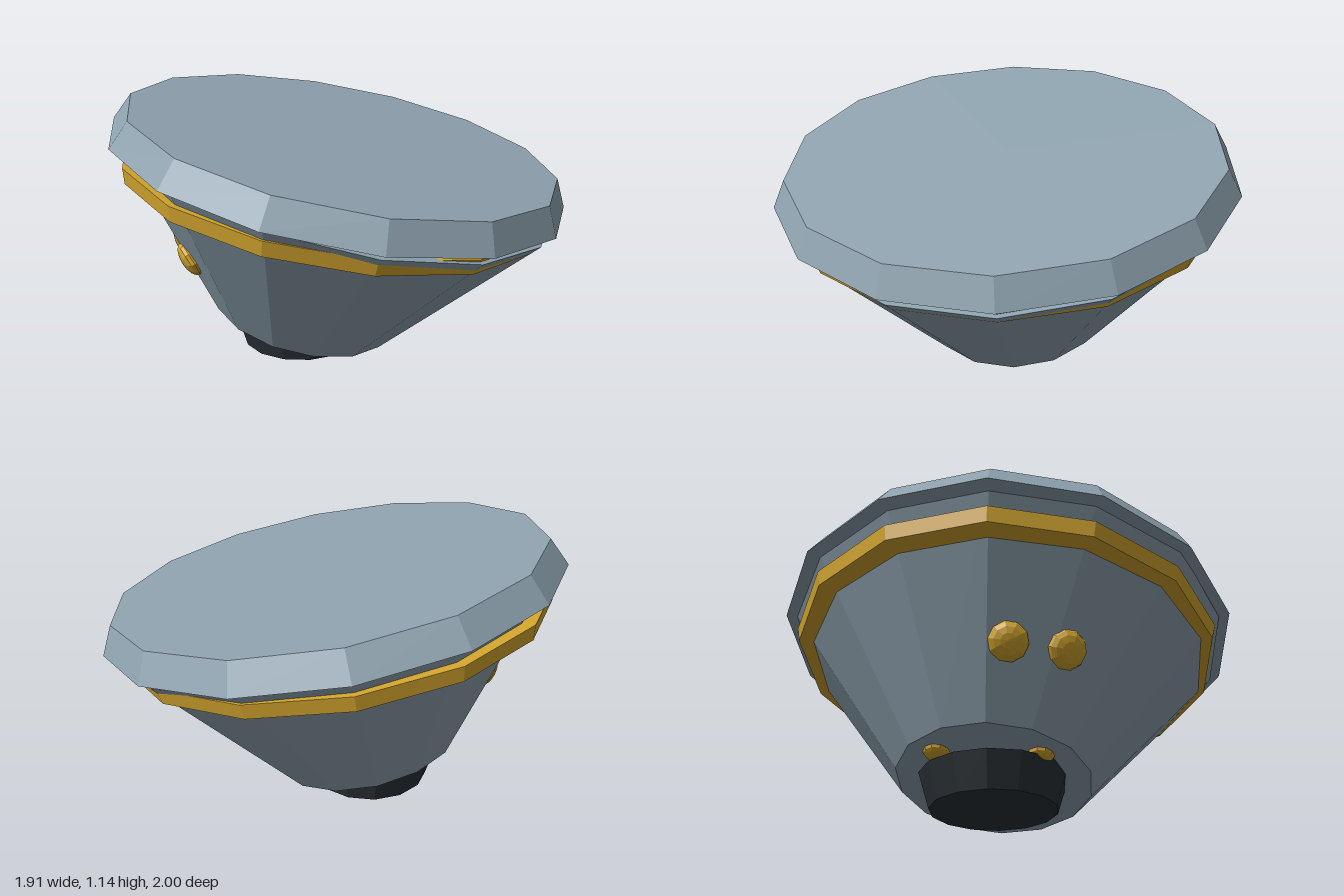
import * as THREE from 'three';

const SIDES = 14;

export function createModel() {
  const model = new THREE.Group();
  model.name = 'tiltedBowl';

  const mat = (name, color) => {
    const m = new THREE.MeshStandardMaterial({ color });
    m.name = name;
    m.flatShading = true;
    return m;
  };
  const steel = mat('steel', 0x8fa3b0);
  const gold = mat('gold', 0xd4a62e);
  const dark = mat('darkIron', 0x2b3136);

  // Tapered 14-sided drum, leaning towards +x by tilt
  const drum = (name, material, rTop, rBottom, height, x, y, tilt) => {
    const mesh = new THREE.Mesh(new THREE.CylinderGeometry(rTop, rBottom, height, SIDES), material);
    mesh.name = name;
    mesh.position.set(x, y, 0);
    mesh.rotation.z = -tilt;
    model.add(mesh);
    return mesh;
  };

  drum('foot', dark, 0.31, 0.265, 0.15, -0.182, 0.075, 0);
  const bowl = drum('bowl', steel, 0.955, 0.407, 0.731, -0.0925, 0.48, 0.24);
  drum('band', gold, 0.936, 0.92, 0.066, -0.02, 0.76, 0.166);
  drum('lid', steel, 0.94, 1, 0.12, 0.01, 0.906, 0.195);

  // Flattened studs, placed in the bowl's own frame and turned along a normal
  const stud = (name, radius, depth, position, normal) => {
    const mesh = new THREE.Mesh(new THREE.SphereGeometry(1, 10, 8), gold);
    mesh.name = name;
    mesh.scale.set(radius, depth, radius);
    mesh.position.copy(position);
    mesh.quaternion.setFromUnitVectors(new THREE.Vector3(0, 1, 0), normal.normalize());
    bowl.add(mesh);
  };

  // Two studs on the bowl wall
  [[-1.206, 0.251, 0.59], [-0.816, 0.269, 0.6]].forEach(([angle, up, r]) => {
    const s = Math.sin(angle), c = Math.cos(angle);
    stud('wallStud', 0.08, 0.04,
      new THREE.Vector3(s * r, up - 0.3655, c * r),
      new THREE.Vector3(s, -0.75, c));
  });

  // Two small studs under the bowl
  [[-0.25, -0.16], [-0.15, 0.24]].forEach(([x, z]) => {
    stud('underStud', 0.055, 0.03,
      new THREE.Vector3(x, -0.3655, z),
      new THREE.Vector3(0.001, -1, 0));
  });

  return model;
}
